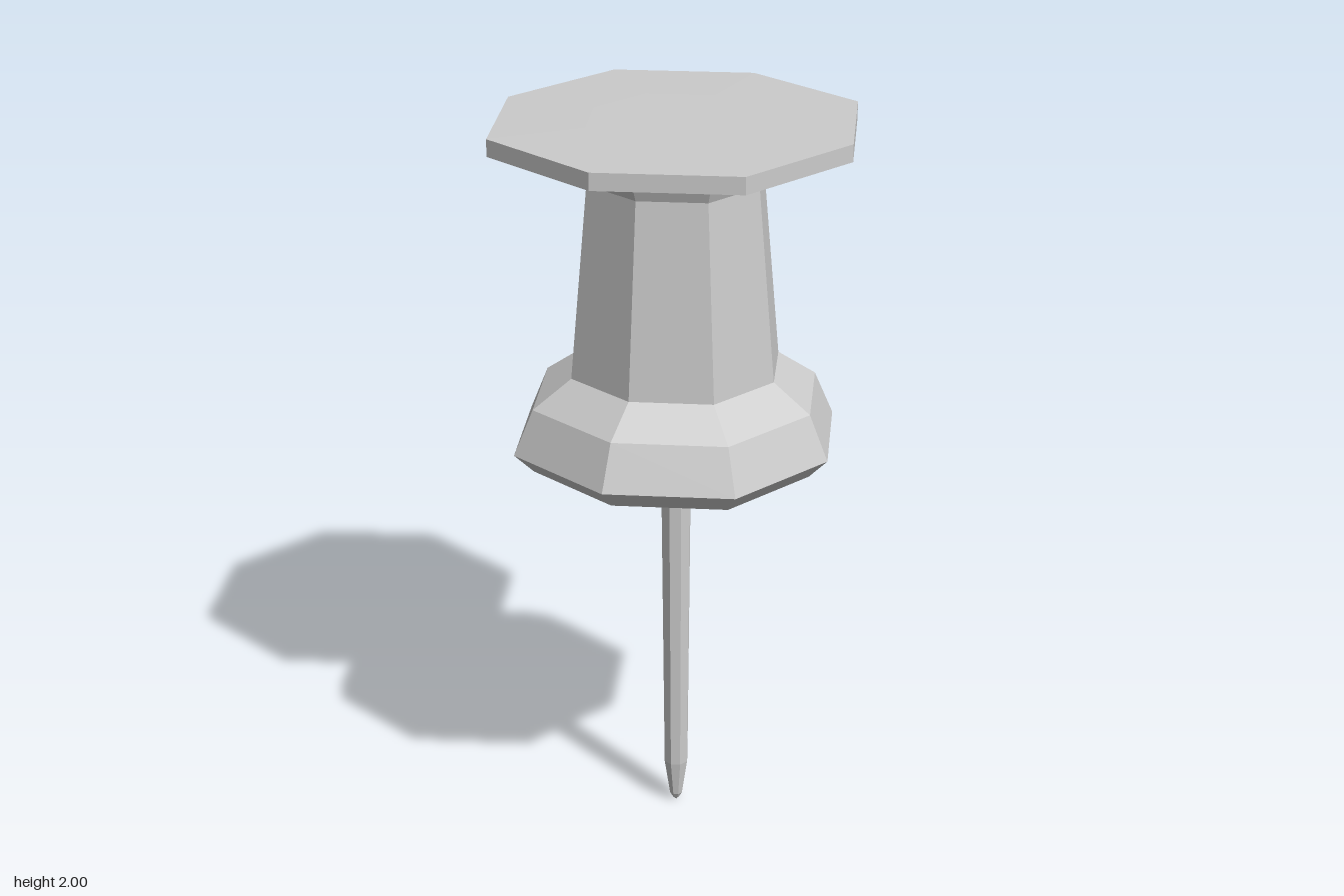
import * as THREE from 'three';

const material = new THREE.MeshStandardMaterial({ color: 0xcccccc, flatShading: true });

// Eight-sided turned part; profile runs bottom to top as [radius, y].
// The diagonal corners sit slightly further out than the axis corners.
function octagonalPart(name, profile, diagonal = 1.03) {
  const points = profile.map(([r, y]) => new THREE.Vector2(r, y));
  const geometry = new THREE.LatheGeometry(points, 8);
  const p = geometry.attributes.position;
  for (let i = 0; i < p.count; i++) {
    const x = p.getX(i), z = p.getZ(i);
    if (Math.min(Math.abs(x), Math.abs(z)) > 1e-5) p.setXYZ(i, x * diagonal, p.getY(i), z * diagonal);
  }
  geometry.computeVertexNormals();
  const mesh = new THREE.Mesh(geometry, material);
  mesh.name = name;
  return mesh;
}

export function createModel() {
  const group = new THREE.Group();
  group.name = 'pushPin';

  // Grip: flared collar, tapered waist and wide flat cap
  group.add(octagonalPart('handle', [
    [0, 1.077], [0.386, 1.077], [0.438, 1.13], [0.386, 1.252], [0.282, 1.326],
    [0.235, 1.85], [0.26, 1.91], [0.487, 1.951], [0.487, 1.997], [0.235, 2], [0, 2],
  ]));

  // Slender needle with a blunt tapered tip
  group.add(octagonalPart('needle', [
    [0, 0.005], [0.008, 0.008], [0.018, 0.025], [0.034, 0.13], [0.043, 1.08],
  ], 1));
  // Tiny point closing the needle at ground level
  const tip = octagonalPart('needleTip', [[0, 0], [0.012, 0.014]], 1);
  group.add(tip);

  return group;
}
